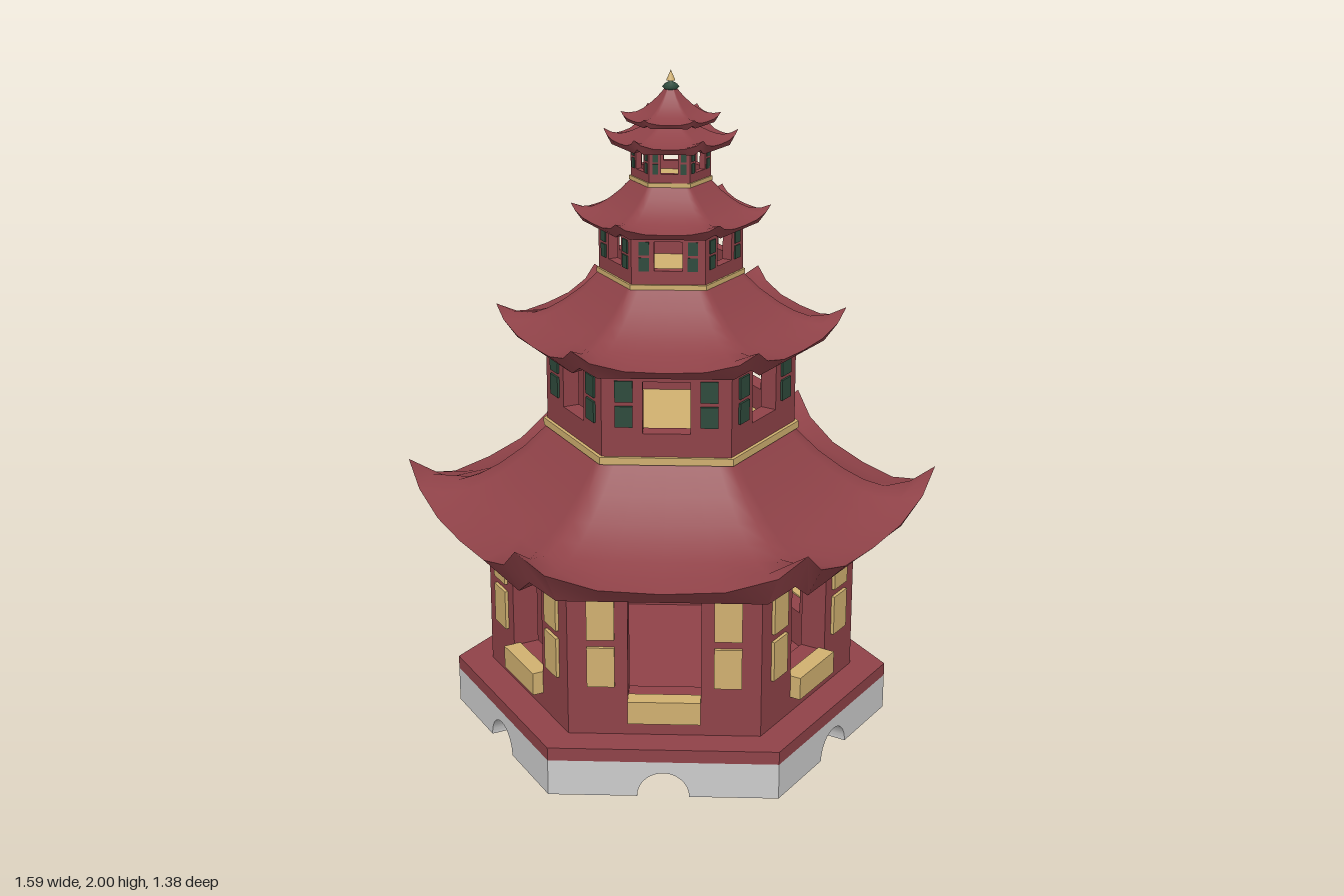
import * as THREE from 'three';
import { toCreasedNormals } from 'three/addons/utils/BufferGeometryUtils.js';

const mat = (color) => new THREE.MeshStandardMaterial({ color });
const RED = mat(0x8f4248), GOLD = mat(0xd0b070), GREEN = mat(0x2e4a3c), GREY = mat(0xcccccc);
const COS30 = Math.cos(Math.PI / 6), TAN30 = Math.tan(Math.PI / 6);

function add(parent, name, geometry, material) {
  const mesh = new THREE.Mesh(geometry, material);
  mesh.name = name;
  parent.add(mesh);
  return mesh;
}

// Calls build once for each of the six sides; side faces +z in its own group
function sixSides(parent, name, build) {
  for (let k = 0; k < 6; k++) {
    const side = new THREE.Group();
    side.name = name;
    side.rotation.y = (k * Math.PI) / 3;
    build(side);
    parent.add(side);
  }
}

// Hexagonal slab with corners on the x axis
function hexSlab(parent, name, radius, y0, y1, material) {
  const g = new THREE.CylinderGeometry(radius, radius, y1 - y0, 6).toNonIndexed();
  g.rotateY(Math.PI / 6).translate(0, (y0 + y1) / 2, 0);
  g.computeVertexNormals();
  return add(parent, name, g, material);
}

function box(parent, name, x0, x1, y0, y1, z0, z1, material) {
  const g = new THREE.BoxGeometry(x1 - x0, y1 - y0, z1 - z0);
  g.translate((x0 + x1) / 2, (y0 + y1) / 2, (z0 + z1) / 2);
  return add(parent, name, g, material);
}

// Extrudes a side profile inwards and mitres its ends to meet the neighbours
function mitredSide(shape, halfWidth, innerHalfWidth, zInner, zOuter) {
  const depth = zOuter - zInner;
  const g = new THREE.ExtrudeGeometry(shape, { depth, bevelEnabled: false, curveSegments: 20 });
  const p = g.attributes.position;
  for (let i = 0; i < p.count; i++) {
    const x = p.getX(i);
    if (p.getZ(i) < depth / 2 && Math.abs(x) > halfWidth - 1e-4) p.setX(i, Math.sign(x) * innerHalfWidth);
  }
  g.translate(0, 0, zInner);
  return toCreasedNormals(g, 0.5);
}

function rectPath(path, x, y0, y1) {
  path.moveTo(-x, y0);
  path.lineTo(x, y0);
  path.lineTo(x, y1);
  path.lineTo(-x, y1);
  path.closePath();
  return path;
}

// Surface through closed rings of equal point count
function loft(rings) {
  const n = rings[0].length, index = [];
  for (let i = 0; i < rings.length - 1; i++) {
    for (let j = 0; j < n; j++) {
      const a = i * n + j, b = i * n + ((j + 1) % n);
      index.push(a, b, a + n, b, b + n, a + n);
    }
  }
  const g = new THREE.BufferGeometry().setFromPoints(rings.flat());
  g.setIndex(index);
  g.computeVertexNormals();
  return g;
}

// Hexagonal ring; lifts raise the stations along each edge, corner first
const STATIONS = [0, 0.1, 0.28, 0.5, 0.72, 0.9];
const SWEEP = [1, 0.42, 0.07, 0, 0.07, 0.42];
const CORNER = [1, 0, 0, 0, 0, 0];
function ring(radius, y, lift, lifts) {
  const points = [];
  const corner = (k) => new THREE.Vector3(Math.cos((k * Math.PI) / 3) * radius, y, Math.sin((k * Math.PI) / 3) * radius);
  for (let k = 0; k < 6; k++) {
    STATIONS.forEach((u, i) => {
      const p = corner(k).lerp(corner(k + 1), u);
      p.y += lift * lifts[i];
      points.push(p);
    });
  }
  return points;
}

// Swept roof: concave top, slanted eave board and underside
function roof(parent, { neck, top, radius, tip, mid, bottom, wall }) {
  const g = new THREE.Group();
  g.name = 'roof';
  const profile = [[0, 0, 0], [0.17, 0.3, 0], [0.35, 0.55, 0.02], [0.5, 0.72, 0.06], [0.65, 0.85, 0.15], [0.83, 0.95, 0.5], [1, 1, 1]];
  const rings = profile.map(([t, drop, lift]) =>
    ring(neck + (radius - neck) * t, top + (mid - top) * drop, (tip - mid) * lift, SWEEP));
  add(g, 'roofTop', loft(rings), RED);
  const eave = [
    rings[rings.length - 1],
    ring(radius * 0.92, bottom, (tip - bottom) * 0.32, CORNER),
    ring(wall, bottom + (tip - bottom) * 0.12, 0, CORNER),
  ];
  add(g, 'eave', toCreasedNormals(loft(eave), 0.4), RED);
  hexSlab(g, 'ceiling', wall * 0.98, bottom, bottom + (tip - bottom) * 0.12, RED);
  parent.add(g);
}

// Hollow storey with a window and a pair of shutters on every side
function storey(parent, { radius, y0, y1, thick, open, shutter, shutterMat, planter }) {
  const apothem = radius * COS30, half = radius / 2;
  const [ox, oy0, oy1] = open;
  const [sx0, sx1, sy0, sy1] = shutter;
  const shape = rectPath(new THREE.Shape(), half, y0, y1);
  shape.holes.push(rectPath(new THREE.Path(), ox, oy0, oy1));
  const wall = mitredSide(shape, half, (apothem - thick) * TAN30, apothem - thick, apothem);
  const gap = (sy1 - sy0) * 0.045, sm = (sy0 + sy1) / 2, out = radius * 0.018;
  sixSides(parent, 'storeySide', (side) => {
    add(side, 'wall', wall, RED);
    for (const s of [-1, 1]) {
      const xs = [s * sx0, s * sx1].sort((a, b) => a - b);
      box(side, 'shutterLower', ...xs, sy0, sm - gap, apothem - out, apothem + out, shutterMat);
      box(side, 'shutterUpper', ...xs, sm + gap, sy1, apothem - out, apothem + out, shutterMat);
    }
    if (planter) box(side, 'windowBox', -ox, ox, 0.2, 0.27, apothem - 0.02, apothem + 0.033, GOLD);
  });
}

export function createModel() {
  const model = new THREE.Group();
  model.name = 'pagoda';

  // Stone base with arched channels crossing underneath
  const R = 0.665, r = 0.075, h = 0.11;
  const arch = new THREE.Shape();
  arch.moveTo(-R / 2, 0);
  arch.lineTo(-r, 0);
  arch.absarc(0, 0, r, Math.PI, 0, true);
  arch.lineTo(R / 2, 0);
  arch.lineTo(R / 2, h);
  arch.lineTo(-R / 2, h);
  arch.closePath();
  const stone = mitredSide(arch, R / 2, r, r / TAN30, R * COS30);
  sixSides(model, 'baseSide', (side) => add(side, 'stoneBase', stone, GREY));
  hexSlab(model, 'terrace', R, h, 0.15, RED);
  hexSlab(model, 'terraceCore', 0.42, 0.062, h, RED);

  // Storeys, from the ground up
  storey(model, { radius: 0.558, y0: 0.15, y1: 0.665, thick: 0.08, open: [0.105, 0.265, 0.575],
    shutter: [0.143, 0.223, 0.305, 0.577], shutterMat: GOLD, planter: true });
  storey(model, { radius: 0.37, y0: 0.945, y1: 1.23, thick: 0.05, open: [0.068, 1.02, 1.175],
    shutter: [0.096, 0.147, 1.04, 1.178], shutterMat: GREEN });
  storey(model, { radius: 0.21, y0: 1.415, y1: 1.575, thick: 0.03, open: [0.04, 1.46, 1.545],
    shutter: [0.055, 0.084, 1.46, 1.545], shutterMat: GREEN });
  storey(model, { radius: 0.115, y0: 1.69, y1: 1.8, thick: 0.017, open: [0.024, 1.72, 1.785],
    shutter: [0.032, 0.048, 1.72, 1.785], shutterMat: GREEN });
  hexSlab(model, 'topStorey', 0.075, 1.82, 1.862, RED);

  // Gold bands where each storey rises from the roof below
  for (const [radius, y0, y1] of [[0.382, 0.928, 0.95], [0.217, 1.406, 1.42], [0.12, 1.683, 1.695]]) {
    hexSlab(model, 'band', radius, y0, y1, GOLD);
  }

  // Roofs
  roof(model, { neck: 0.37, top: 0.93, radius: 0.795, tip: 0.81, mid: 0.69, bottom: 0.64, wall: 0.55 });
  roof(model, { neck: 0.21, top: 1.41, radius: 0.515, tip: 1.305, mid: 1.243, bottom: 1.215, wall: 0.365 });
  roof(model, { neck: 0.115, top: 1.685, radius: 0.29, tip: 1.612, mid: 1.582, bottom: 1.564, wall: 0.205 });
  roof(model, { neck: 0.065, top: 1.85, radius: 0.193, tip: 1.832, mid: 1.805, bottom: 1.788, wall: 0.112 });
  roof(model, { neck: 0.015, top: 1.95, radius: 0.143, tip: 1.88, mid: 1.865, bottom: 1.853, wall: 0.07 });

  // Finial
  const knob = [[0, 1.94], [0.018, 1.945], [0.025, 1.952], [0.018, 1.96], [0.007, 1.966], [0.006, 1.972], [0, 1.972]];
  add(model, 'finialKnob', new THREE.LatheGeometry(knob.map(([x, y]) => new THREE.Vector2(x, y)), 12), GREEN);
  add(model, 'finialTip', new THREE.ConeGeometry(0.013, 0.03, 12).translate(0, 1.985, 0), GOLD);
  return model;
}
